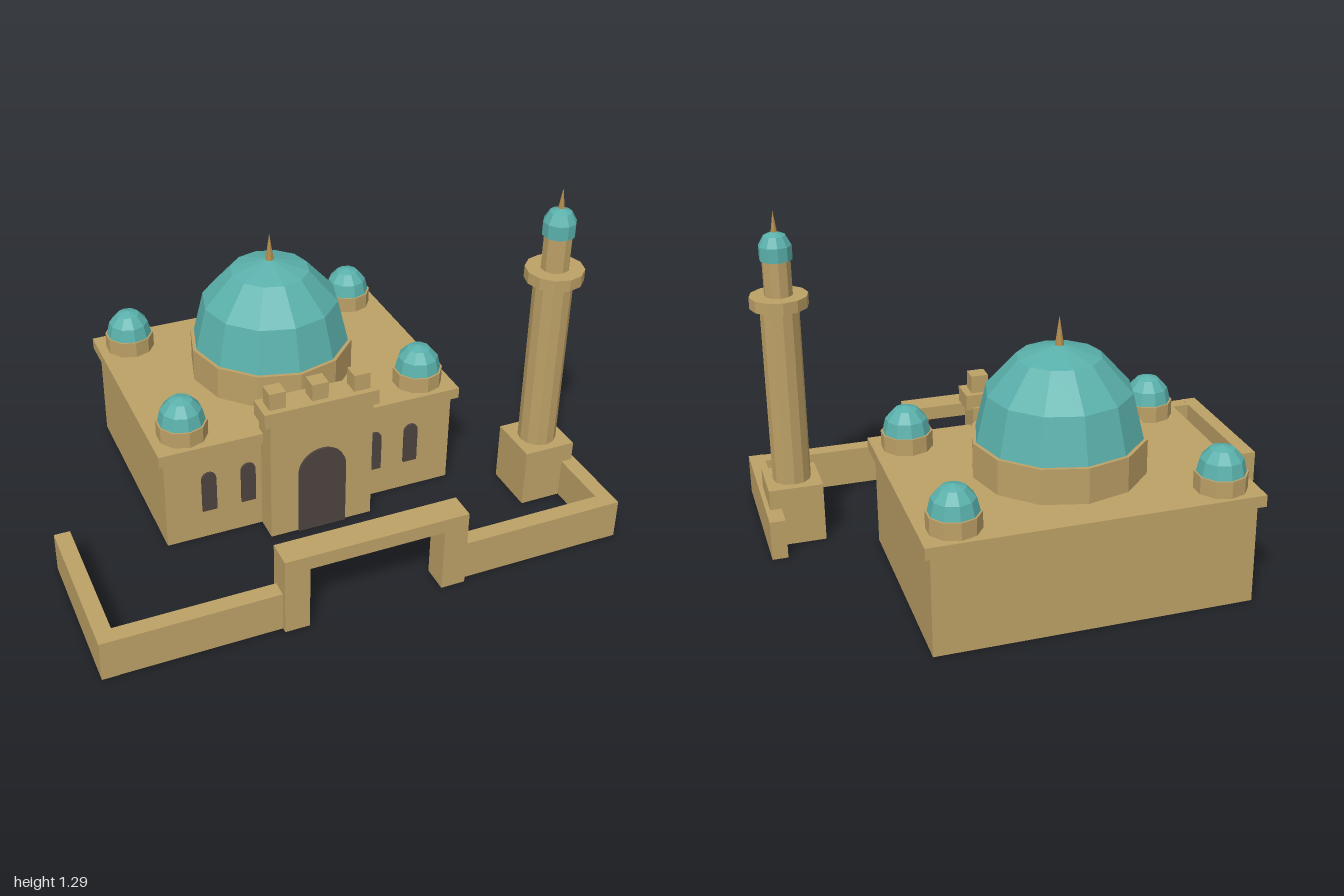
import * as THREE from 'three';

export function createModel() {
  const model = new THREE.Group();
  model.name = 'domedBuilding';

  const material = (name, color) => {
    const m = new THREE.MeshStandardMaterial({ color, flatShading: true });
    m.name = name;
    return m;
  };
  const sand = material('sandstone', 0xbca066);
  const teal = material('tealTile', 0x5ab0ab);
  const dark = material('darkOpening', 0x4c433f);
  const bronze = material('bronze', 0xb08a4c);

  const add = (name, geometry, mat, x = 0, y = 0, z = 0, parent = model) => {
    const mesh = new THREE.Mesh(geometry, mat);
    mesh.name = name;
    mesh.position.set(x, y, z);
    parent.add(mesh);
    return mesh;
  };
  // box given by its limits on each axis
  const box = (name, x0, x1, y0, y1, z0, z1, parent = model) =>
    add(name, new THREE.BoxGeometry(x1 - x0, y1 - y0, z1 - z0), sand,
      (x0 + x1) / 2, (y0 + y1) / 2, (z0 + z1) / 2, parent);
  // upright prism from y0 to y1
  const prism = (name, r, y0, y1, sides, x, z, parent = model) =>
    add(name, new THREE.CylinderGeometry(r, r, y1 - y0, sides), sand, x, (y0 + y1) / 2, z, parent);
  const spire = (name, r, y0, y1, x, z, parent = model) =>
    add(name, new THREE.ConeGeometry(r, y1 - y0, 8), bronze, x, (y0 + y1) / 2, z, parent);
  const lathe = (points, sides) =>
    new THREE.LatheGeometry(points.map(([r, y]) => new THREE.Vector2(r, y)), sides);
  // faceted half dome with three rings
  const domeGeometry = (r, h, sides) =>
    lathe([0, 1, 2, 3].map((i) => {
      const a = (i * Math.PI) / 6;
      return [i === 3 ? 0 : r * Math.cos(a), h * Math.sin(a)];
    }), sides);
  // thin arched plate standing on its base
  const archPlate = (w, h, segments) => {
    const s = new THREE.Shape();
    s.moveTo(-w / 2, 0);
    s.lineTo(w / 2, 0);
    s.lineTo(w / 2, h - w / 2);
    s.absarc(0, h - w / 2, w / 2, 0, Math.PI, false);
    s.closePath();
    return new THREE.ExtrudeGeometry(s, { depth: 0.009, bevelEnabled: false, curveSegments: segments });
  };

  // main hall and roof slab
  const cz = -0.29;
  box('hall', -0.585, 0.585, 0, 0.385, -0.715, 0.135);
  box('roofSlab', -0.607, 0.607, 0.383, 0.427, -0.74, 0.158);

  // central dome
  prism('domeDrum', 0.32, 0.427, 0.56, 12, 0, cz);
  add('mainDome', domeGeometry(0.306, 0.337, 12), teal, 0, 0.56, cz);
  spire('domeFinial', 0.018, 0.885, 1.0, 0, cz);

  // small corner domes
  for (const x of [-0.48, 0.48]) {
    for (const z of [0.045, -0.63]) {
      const turret = new THREE.Group();
      turret.name = 'cornerTurret';
      turret.position.set(x, 0.427, z);
      model.add(turret);
      prism('turretDrum', 0.096, 0, 0.063, 10, 0, 0, turret);
      add('turretDome', domeGeometry(0.089, 0.1, 10), teal, 0, 0.063, 0, turret);
    }
  }

  // entrance portal with merlons and door
  box('portal', -0.205, 0.205, 0, 0.51, 0.115, 0.233);
  box('portalCap', -0.227, 0.227, 0.5, 0.56, 0.125, 0.236);
  for (const x of [-0.167, 0, 0.167]) {
    box('merlon', x - 0.0325, x + 0.0325, 0.56, 0.628, 0.147, 0.212);
  }
  add('door', archPlate(0.19, 0.36, 8), dark, 0, 0, 0.233);

  // arched windows
  for (const x of [-0.415, -0.26, 0.26, 0.415]) {
    add('window', archPlate(0.057, 0.172, 5), dark, x, 0.125, 0.135);
  }

  // courtyard walls and gate, mirrored
  for (const s of [-1, 1]) {
    const span = (a, b) => (s > 0 ? [a, b] : [-b, -a]);
    box('sideWall', ...span(0.94, 1), 0, 0.157, 0.105, 0.715);
    box('frontWall', ...span(0.3, 0.97), 0, 0.156, 0.652, 0.714);
    box('gatePillar', ...span(0.257, 0.35), 0, 0.257, 0.632, 0.735);
  }
  box('gateLintel', -0.35, 0.35, 0.255, 0.31, 0.632, 0.735);

  // tower
  const tower = new THREE.Group();
  tower.name = 'tower';
  tower.position.set(0.88, 0, 0.31);
  model.add(tower);
  box('towerBase', -0.103, 0.103, 0, 0.235, -0.103, 0.103, tower);
  prism('towerShaft', 0.073, 0.235, 0.93, 12, 0, 0, tower);
  prism('towerBalcony', 0.109, 0.93, 0.975, 12, 0, 0, tower);
  prism('towerUpperShaft', 0.053, 0.975, 1.115, 10, 0, 0, tower);
  add('towerCap', lathe([[0, 1.11], [0.061, 1.11], [0.061, 1.163], [0.041, 1.2], [0, 1.218]], 10),
    teal, 0, 0, 0, tower);
  spire('towerFinial', 0.013, 1.205, 1.29, 0, 0, tower);

  return model;
}
